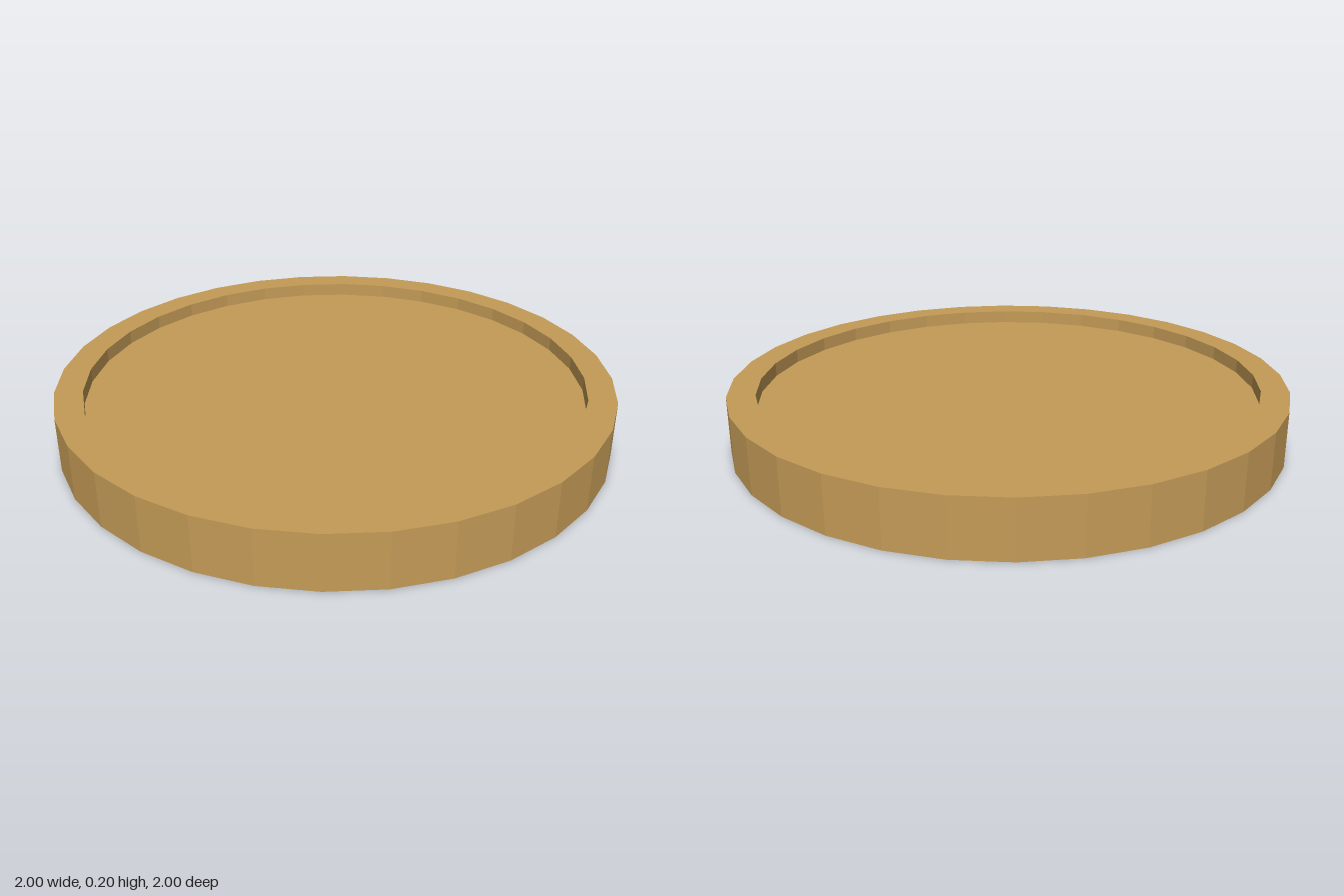
import * as THREE from 'three';

const HEIGHT = 0.2;
const RECESS = 0.05;
const SIDES = 32;

// Round disc with a raised rim and a shallow recess on both faces
function makeDisc() {
  const profile = [
    [0, RECESS], [0.9, RECESS], [0.9, 0], [1, 0],
    [1, HEIGHT], [0.9, HEIGHT], [0.9, HEIGHT - RECESS], [0, HEIGHT - RECESS],
  ].map(([r, y]) => new THREE.Vector2(r, y));
  const material = new THREE.MeshStandardMaterial({ color: 0xc49b57, flatShading: true });
  const disc = new THREE.Mesh(new THREE.LatheGeometry(profile, SIDES), material);
  disc.name = 'disc';
  return disc;
}

// Faceted star in the lower recess: level ridges to the tips, sunken valleys between
function makeStar() {
  const points = 5;
  const corner = (i, y) => {
    const isTip = i % 2 === 0;
    const r = isTip ? 0.5 : 0.2;
    const a = (i * Math.PI) / points;
    return [r * Math.sin(a), y ?? (isTip ? 0 : 0.03), -r * Math.cos(a)];
  };
  const positions = [];
  for (let i = 0; i < points * 2; i++) {
    const a = corner(i), b = corner(i + 1);
    const baseA = corner(i, RECESS), baseB = corner(i + 1, RECESS);
    positions.push(...[0, 0, 0], ...a, ...b); // facet
    positions.push(...baseA, ...baseB, ...b, ...baseA, ...b, ...a); // side wall
  }
  const geometry = new THREE.BufferGeometry();
  geometry.setAttribute('position', new THREE.Float32BufferAttribute(positions, 3));
  geometry.computeVertexNormals();
  const material = new THREE.MeshStandardMaterial({ color: 0xc9a440, flatShading: true });
  const star = new THREE.Mesh(geometry, material);
  star.name = 'star';
  return star;
}

export function createModel() {
  const model = new THREE.Group();
  model.name = 'coin';
  model.add(makeDisc(), makeStar());
  return model;
}
